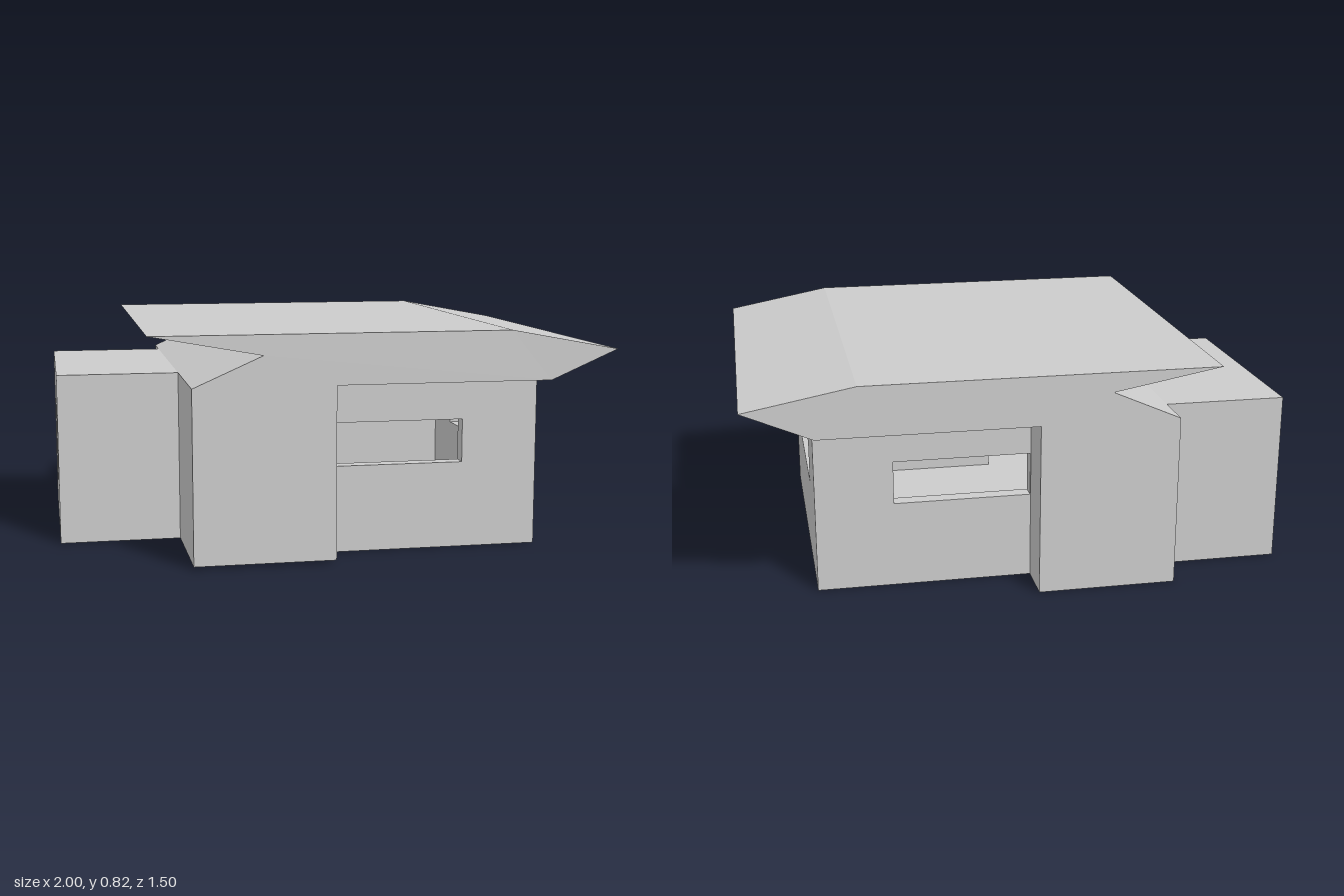
import * as THREE from 'three';

const T = 0.055;      // wall thickness
const FLOOR = 0.02;   // floor slab thickness
const EAVE = 0.637;   // top of the walls
const DEPTH = 0.752;  // half depth of roof and porch bays

// Floor plan (x, z), counter-clockwise seen from above
const plan = [
  [-1, 0.28], [-0.55, 0.28], [-0.55, DEPTH], [-0.04, DEPTH], [-0.04, 0.6], [0.75, 0.6],
  [0.75, -0.588], [-0.04, -0.588], [-0.04, -DEPTH], [-0.55, -DEPTH], [-0.55, -0.588], [-1, -0.588],
];

// Windows by wall index: start and end along the wall, sill and head height
const windows = {
  4: [0.002, 0.505, 0.32, 0.48],
  5: [0.305, 0.905, 0.32, 0.48],
  6: [0.285, 0.788, 0.32, 0.48],
  11: [0.28, 0.573, 0.16, 0.48],
};
const wallNames = { 4: 'frontWindowWall', 5: 'leftWindowWall', 6: 'backWindowWall', 11: 'wingWindowWall' };

const material = new THREE.MeshStandardMaterial({ color: 0xcccccc, flatShading: true });

function polygon(points) {
  return new THREE.Shape(points.map(([x, y]) => new THREE.Vector2(x, y)));
}

function extrude(shape, depth) {
  return new THREE.ExtrudeGeometry(shape, { depth, bevelEnabled: false });
}

function addMesh(group, name, geometry) {
  const mesh = new THREE.Mesh(geometry, material);
  mesh.name = name;
  group.add(mesh);
  return mesh;
}

function rectangle(x0, x1, y0, y1) {
  return [[x0, y0], [x1, y0], [x1, y1], [x0, y1]];
}

export function createModel() {
  const house = new THREE.Group();
  house.name = 'house';

  // Floor slab; the underside of the front bay rises slightly
  const floor = extrude(polygon(plan), FLOOR).rotateX(Math.PI / 2).translate(0, FLOOR, 0);
  const p = floor.attributes.position;
  for (let i = 0; i < p.count; i++) {
    if (p.getY(i) < 0.005 && p.getZ(i) > 0.7) p.setY(i, 0.01);
  }
  floor.computeVertexNormals();
  addMesh(house, 'floor', floor);

  // Walls follow the plan and grow inwards
  const n = plan.length;
  plan.forEach(([x, z], i) => {
    const [px, pz] = plan[(i + n - 1) % n];
    const [nx, nz] = plan[(i + 1) % n];
    const length = Math.hypot(nx - x, nz - z);
    // Trim the start at outer corners, extend it at inner corners
    const turn = (x - px) * (nz - z) - (z - pz) * (nx - x);
    const start = turn < 0 ? T : -T;
    const shape = polygon(rectangle(start, length, FLOOR, EAVE));
    if (windows[i]) {
      const hole = rectangle(...windows[i]).map(([a, b]) => new THREE.Vector2(a, b));
      shape.holes.push(new THREE.Path(hole));
    }
    const wall = addMesh(house, wallNames[i] || `wall${i + 1}`, extrude(shape, T).translate(0, 0, -T));
    wall.position.set(x, 0, z);
    wall.rotation.y = Math.atan2(z - nz, nx - x);
  });

  // Flat roof over the side wing
  const wingRoof = addMesh(house, 'wingRoof', new THREE.BoxGeometry(0.45, 0.05, 0.868 - 2 * T));
  wingRoof.position.set(-1 + T + 0.225, EAVE - 0.025, -0.154);

  // Main roof with a pointed eave on one side and a notched overhang on the other
  const roof = polygon([
    [-0.55, EAVE], [0.75, EAVE], [1, 0.745], [0.6, 0.82], [-0.7, 0.82], [-0.3, 0.747],
  ]);
  addMesh(house, 'mainRoof', extrude(roof, 2 * DEPTH).translate(0, 0, -DEPTH));

  return house;
}
